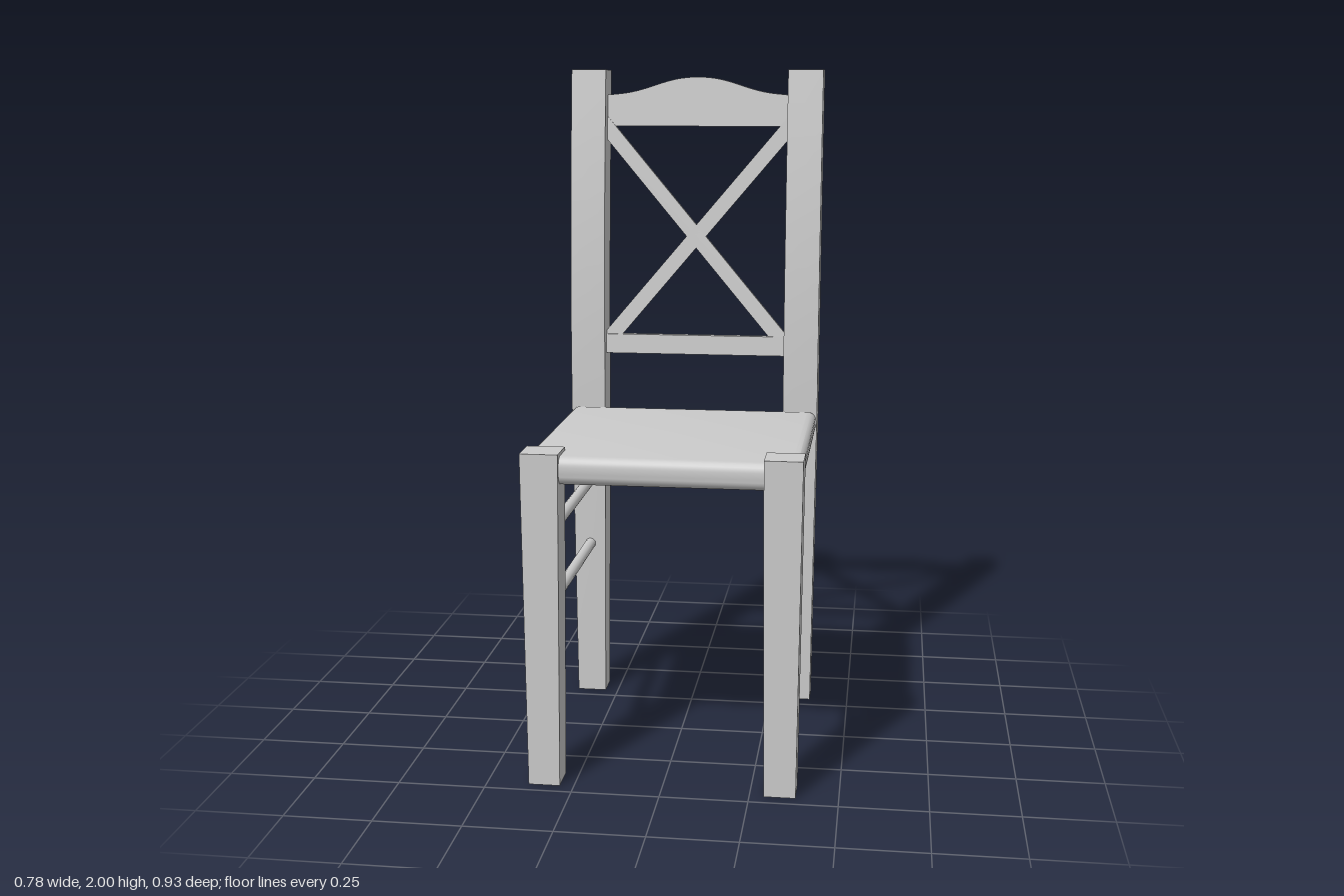
import * as THREE from 'three';
import { toCreasedNormals } from 'three/addons/utils/BufferGeometryUtils.js';

const material = new THREE.MeshStandardMaterial({ color: 0xcccccc, side: THREE.DoubleSide });

function add(parent, name, geometry) {
  const mesh = new THREE.Mesh(geometry, material);
  mesh.name = name;
  parent.add(mesh);
  return mesh;
}

// Square post through sections [y, innerX, outerX, backZ, frontZ]; side mirrors it
function post(sections, side) {
  const n = sections.length - 1;
  const geometry = new THREE.BoxGeometry(1, 1, 1, 1, n, 1);
  const p = geometry.attributes.position;
  for (let i = 0; i < p.count; i++) {
    const [y, xIn, xOut, zBack, zFront] = sections[Math.round((p.getY(i) + 0.5) * n)];
    const x = p.getX(i) * side > 0 ? xOut : xIn;
    p.setXYZ(i, x * side, y, p.getZ(i) > 0 ? zFront : zBack);
  }
  return toCreasedNormals(geometry, 0.5);
}

// Flat outline in x/y with a thickness, leaning backwards with height
function leaningPanel(shape, thickness, z0, y0, slope) {
  const geometry = new THREE.ExtrudeGeometry(shape, { depth: thickness, bevelEnabled: false, curveSegments: 16 });
  const p = geometry.attributes.position;
  for (let i = 0; i < p.count; i++) {
    p.setZ(i, p.getZ(i) - thickness / 2 + z0 - slope * (p.getY(i) - y0));
  }
  return toCreasedNormals(geometry, 0.5);
}

const polygon = (points) => new THREE.Shape(points.map(([x, y]) => new THREE.Vector2(x, y)));

export function createModel() {
  const chair = new THREE.Group();
  chair.name = 'chair';

  const frontSections = [
    [0, 0.29, 0.38, 0.37, 0.462],
    [0.965, 0.282, 0.389, 0.36, 0.465],
  ];
  const backSections = [
    [0, 0.29, 0.38, -0.377, -0.296],
    [0.965, 0.282, 0.389, -0.39, -0.29],
    [1.2, 0.282, 0.389, -0.395, -0.292],
    [1.4, 0.282, 0.389, -0.404, -0.3],
    [1.6, 0.282, 0.389, -0.419, -0.314],
    [1.8, 0.282, 0.389, -0.439, -0.333],
    [2, 0.282, 0.389, -0.463, -0.356],
  ];

  for (const side of [-1, 1]) {
    const label = side > 0 ? 'left' : 'right';
    add(chair, label + 'FrontLeg', post(frontSections, side));
    add(chair, label + 'BackPost', post(backSections, side));

    // Side apron under the seat
    const apron = add(chair, label + 'Apron', new THREE.BoxGeometry(0.04, 0.05, 0.68));
    apron.position.set(side * 0.335, 0.86, 0.035);

    // Two round stretchers per side
    for (const y of [0.71, 0.5]) {
      const rod = add(chair, label + 'Stretcher', new THREE.CylinderGeometry(0.017, 0.017, 0.68, 16));
      rod.rotation.x = Math.PI / 2;
      rod.position.set(side * 0.335, y, 0.035);
    }
  }

  // Seat pad: rounded edge profile swept round four mitred sides
  const profile = [new THREE.Vector2(0, 0.875)];
  const steps = 6;
  for (const [y, start] of [[0.909, -Math.PI / 2], [0.927, 0]]) {
    const rx = 0.028;
    const ry = y < 0.92 ? 0.034 : 0.028;
    for (let i = 0; i <= steps; i++) {
      const a = start + (i / steps) * Math.PI / 2;
      profile.push(new THREE.Vector2((0.385 - rx + rx * Math.cos(a)) * Math.SQRT2, y + ry * Math.sin(a)));
    }
  }
  profile.push(new THREE.Vector2(0, 0.955));
  const seatGeometry = new THREE.LatheGeometry(profile, 4, Math.PI / 4);
  seatGeometry.scale(1, 1, 0.3725 / 0.385);
  seatGeometry.translate(0, 0, 0.0825);
  add(chair, 'seat', toCreasedNormals(seatGeometry, 0.6));

  // Crest rail with a raised centre
  const w = 0.287;
  const crest = new THREE.Shape();
  crest.moveTo(-w, 1.828);
  crest.lineTo(w, 1.828);
  crest.lineTo(w, 1.923);
  crest.lineTo(0.235, 1.928);
  crest.bezierCurveTo(0.14, 1.94, 0.1, 1.978, 0, 1.978);
  crest.bezierCurveTo(-0.1, 1.978, -0.14, 1.94, -0.235, 1.928);
  crest.lineTo(-w, 1.923);
  crest.closePath();
  add(chair, 'crestRail', leaningPanel(crest, 0.025, -0.396, 1.83, 0.08));

  // Lower back rail
  const rail = polygon([[-w, 1.12], [w, 1.12], [w, 1.18], [-w, 1.18]]);
  add(chair, 'lowerBackRail', leaningPanel(rail, 0.022, -0.338, 1.15, 0.07));

  // Crossed braces
  const h = 0.036;
  for (const s of [-1, 1]) {
    const low = 1.15, high = 1.828;
    const points = [[-w, low - h], [w, high - h], [w, high + h], [-w, low + h]];
    const brace = polygon(points.map(([x, y]) => [x * s, y]));
    add(chair, 'crossBrace', leaningPanel(brace, 0.014, -0.338, 1.15, 0.073));
  }

  return chair;
}
